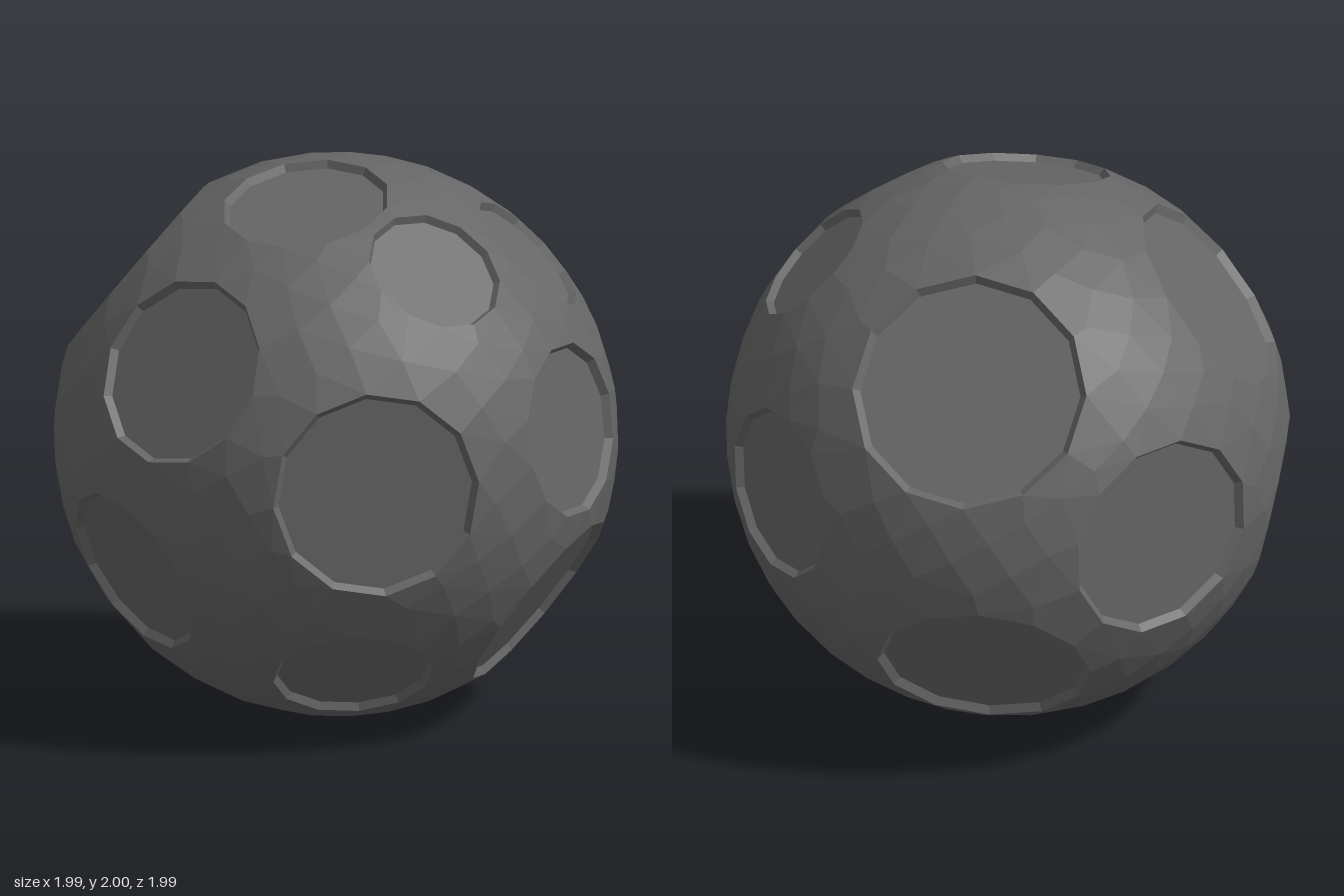
import * as THREE from 'three';
import { ConvexGeometry } from 'three/addons/geometries/ConvexGeometry.js';

const SIDES = 12;   // corners of each crater rim
const POINTS = 520; // points spread over the ball
const DEPTH = 0.025;

// crater direction (x, y, z from the ball's centre) and rim radius
const CRATERS = [
  [-0.53, 0, 0.75, 0.37],
  [0.285, 0.125, 0.9, 0.31],
  [0.335, -0.54, 0.68, 0.36],
  [-0.39, -0.72, 0.49, 0.285],
  [0.41, 0.685, 0.55, 0.245],
  [-0.125, 0.725, 0.63, 0.25],
  [-0.27, 0.906, 0.125, 0.3],
  [-0.39, 0.578, -0.6, 0.385],
  [0.645, 0.54, -0.32, 0.42],
  [0.89, 0.03, 0.34, 0.31],
  [0.654, -0.525, -0.39, 0.38],
  [0.27, -0.01, -0.88, 0.37],
  [-0.86, 0.39, 0.095, 0.34],
  [-0.53, -0.21, -0.77, 0.3],
  [-0.84, -0.37, -0.14, 0.32],
  [-0.23, -0.825, -0.37, 0.37],
].map(([x, y, z, r]) => {
  const normal = new THREE.Vector3(x, y, z).normalize();
  const turn = new THREE.Quaternion().setFromUnitVectors(new THREE.Vector3(0, 1, 0), normal);
  return { normal, turn, r, d: Math.sqrt(1 - r * r) };
});

// Even spiral of points outside the craters, plus the rim corners
function surfacePoints() {
  const pts = [];
  for (let i = 0; i < POINTS; i++) {
    const y = 1 - (2 * i + 1) / POINTS;
    const a = i * Math.PI * (3 - Math.sqrt(5));
    const s = Math.sqrt(1 - y * y);
    const p = new THREE.Vector3(s * Math.cos(a), y, s * Math.sin(a));
    if (CRATERS.every((c) => p.angleTo(c.normal) > Math.asin(c.r) + 0.05)) pts.push(p);
  }
  for (const { r, d, turn } of CRATERS) {
    for (let i = 0; i < SIDES; i++) {
      const a = (i / SIDES) * Math.PI * 2;
      pts.push(new THREE.Vector3(r * Math.sin(a), d, r * Math.cos(a)).applyQuaternion(turn));
    }
  }
  return pts;
}

// Faceted hull with the flat caps over the craters left open
function crustGeometry() {
  const pos = new ConvexGeometry(surfacePoints()).getAttribute('position');
  const kept = [];
  for (let i = 0; i < pos.count; i += 3) {
    const tri = [0, 1, 2].map((k) => new THREE.Vector3().fromBufferAttribute(pos, i + k));
    const isCap = CRATERS.some((c) => tri.every((p) => p.dot(c.normal) > c.d - 1e-4));
    if (!isCap) kept.push(...tri.flatMap((p) => p.toArray()));
  }
  const geo = new THREE.BufferGeometry();
  geo.setAttribute('position', new THREE.Float32BufferAttribute(kept, 3));
  geo.computeVertexNormals();
  return geo;
}

export function createModel() {
  const group = new THREE.Group();
  group.name = 'crateredBall';
  const material = new THREE.MeshStandardMaterial({ color: 0x666666, flatShading: true });

  const crust = new THREE.Mesh(crustGeometry(), material);
  crust.name = 'crust';
  crust.position.y = 1;
  group.add(crust);

  // Shallow dishes: sloping wall and flat floor
  CRATERS.forEach(({ r, d, turn }, i) => {
    const profile = [[r, d], [r * 0.94, d - DEPTH], [0, d - DEPTH]].map(([x, y]) => new THREE.Vector2(x, y));
    const crater = new THREE.Mesh(new THREE.LatheGeometry(profile, SIDES), material);
    crater.name = `crater${i + 1}`;
    crater.quaternion.copy(turn);
    crater.position.y = 1;
    group.add(crater);
  });
  return group;
}
